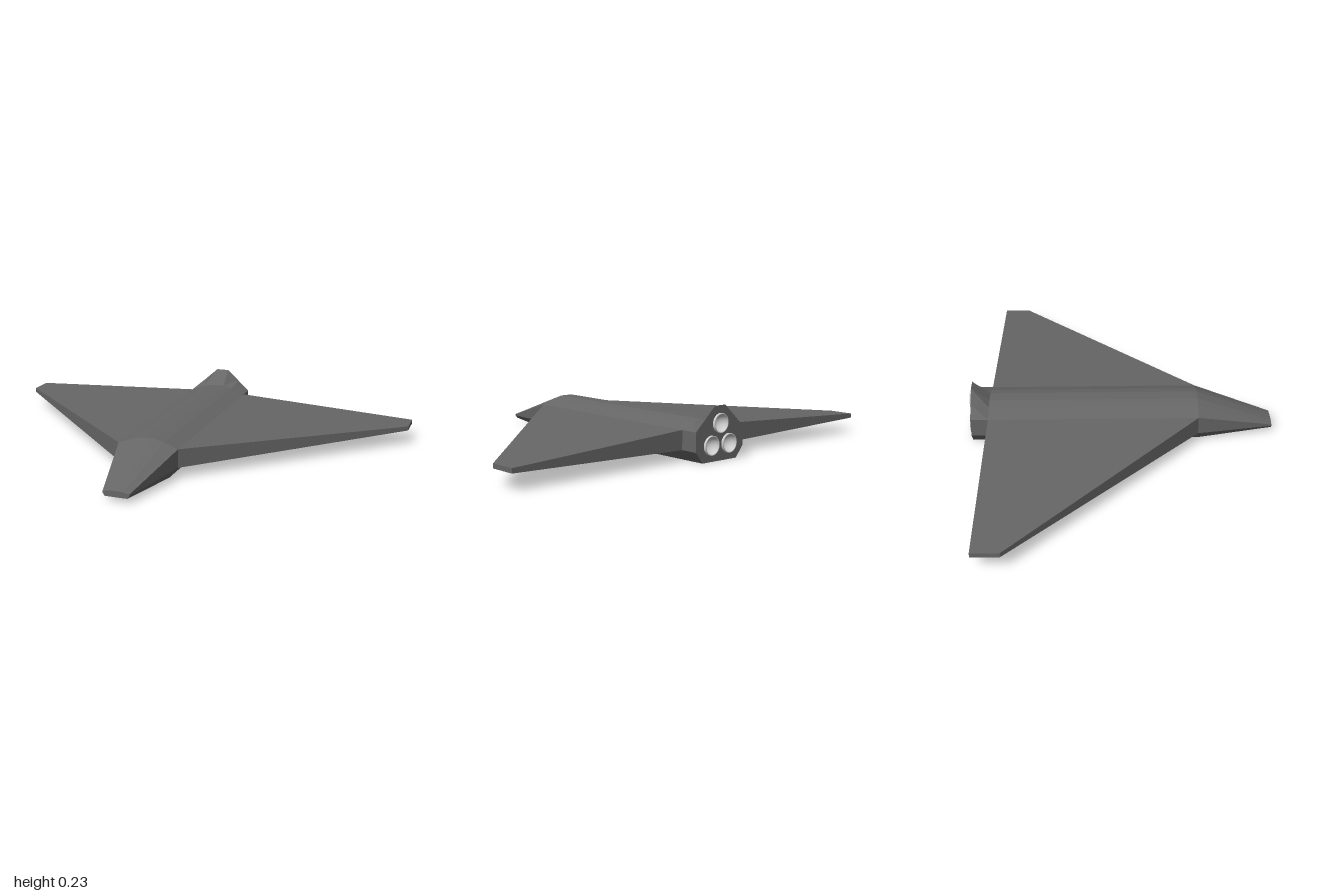
import * as THREE from 'three';

const hull = new THREE.MeshStandardMaterial({ color: 0x666666, flatShading: true });
const metal = new THREE.MeshStandardMaterial({ color: 0xcccccc, side: THREE.DoubleSide });

// Skin a list of rings (each counter-clockwise seen from the end the list runs towards)
function loft(rings, capStart = true, capEnd = true) {
  const pos = [];
  const n = rings[0].length;
  const tri = (a, b, c) => pos.push(...a, ...b, ...c);
  for (let r = 0; r < rings.length - 1; r++) {
    for (let i = 0; i < n; i++) {
      const j = (i + 1) % n, a = rings[r], b = rings[r + 1];
      tri(a[i], a[j], b[j]);
      tri(a[i], b[j], b[i]);
    }
  }
  const first = rings[0], last = rings[rings.length - 1];
  for (let i = 1; i < n - 1; i++) {
    if (capStart) tri(first[0], first[i + 1], first[i]);
    if (capEnd) tri(last[0], last[i], last[i + 1]);
  }
  const geo = new THREE.BufferGeometry();
  geo.setAttribute('position', new THREE.Float32BufferAttribute(pos, 3));
  geo.computeVertexNormals();
  return geo;
}

// Half profile (bottom to top, x > 0) mirrored into a full section
const section = (half) => [...half, ...half.map(([x, y]) => [-x, y]).reverse()];
const ringAt = (half, z) => section(half).map(([x, y]) => [x, y, z]);

export function createModel() {
  const group = new THREE.Group();
  const add = (name, geo, mat = hull) => {
    const mesh = new THREE.Mesh(geo, mat);
    mesh.name = name;
    group.add(mesh);
    return mesh;
  };

  // Fuselage: raised tail, constant middle, tapered blunt nose
  const tail = [[0.1, 0], [0.14, 0.05], [0.14, 0.135], [0.085, 0.185], [0.03, 0.235]];
  const middle = [[0.1, 0], [0.14, 0.05], [0.14, 0.135], [0.075, 0.16], [0.03, 0.17]];
  const nose = [[0.05, 0.02], [0.06, 0.033], [0.06, 0.04], [0.035, 0.045], [0.015, 0.047]];
  add('fuselage', loft([
    ringAt(tail, -0.69), ringAt(middle, -0.61), ringAt(middle, 0.35), ringAt(nose, 0.7),
  ], false, true));

  // Engine bulkhead with three round openings
  const engines = [[0, 0.16], [0.052, 0.07], [-0.052, 0.07]];
  const R = 0.042;
  const plate = new THREE.Shape(section(tail).map(([x, y]) => new THREE.Vector2(x, y)));
  for (const [x, y] of engines) {
    plate.holes.push(new THREE.Path().absarc(x, y, R - 0.001, 0, Math.PI * 2, true));
  }
  add('engineBulkhead', new THREE.ShapeGeometry(plate, 24).rotateY(Math.PI).translate(0, 0, -0.69));

  // Nozzles: short rim around a hollow bowl
  const profile = [[R, 0], [R, 0.01], [R - 0.004, 0.01]].map(([x, y]) => new THREE.Vector2(x, y));
  for (let i = 1; i <= 8; i++) {
    const a = (i / 8) * Math.PI / 2;
    profile.push(new THREE.Vector2((R - 0.004) * Math.cos(a), 0.01 - 0.038 * Math.sin(a)));
  }
  for (const [x, y] of engines) {
    const nozzle = add('engineNozzle', new THREE.LatheGeometry(profile, 32).rotateX(-Math.PI / 2), metal);
    nozzle.position.set(x, y, -0.69);
  }

  // Delta wings, thick at the root and thin at the clipped tip
  const wingRing = (x, y0, y1, front) =>
    [[x, y0, -0.61], [x, y1, -0.61], [x, y1, front], [x, y0, front]];
  for (const s of [1, -1]) {
    const rings = [wingRing(0.14 * s, 0.05, 0.135, 0.35), wingRing(s, 0.07, 0.09, -0.49)];
    add(s > 0 ? 'leftWing' : 'rightWing', loft(s > 0 ? rings : rings.reverse()));
  }
  return group;
}
